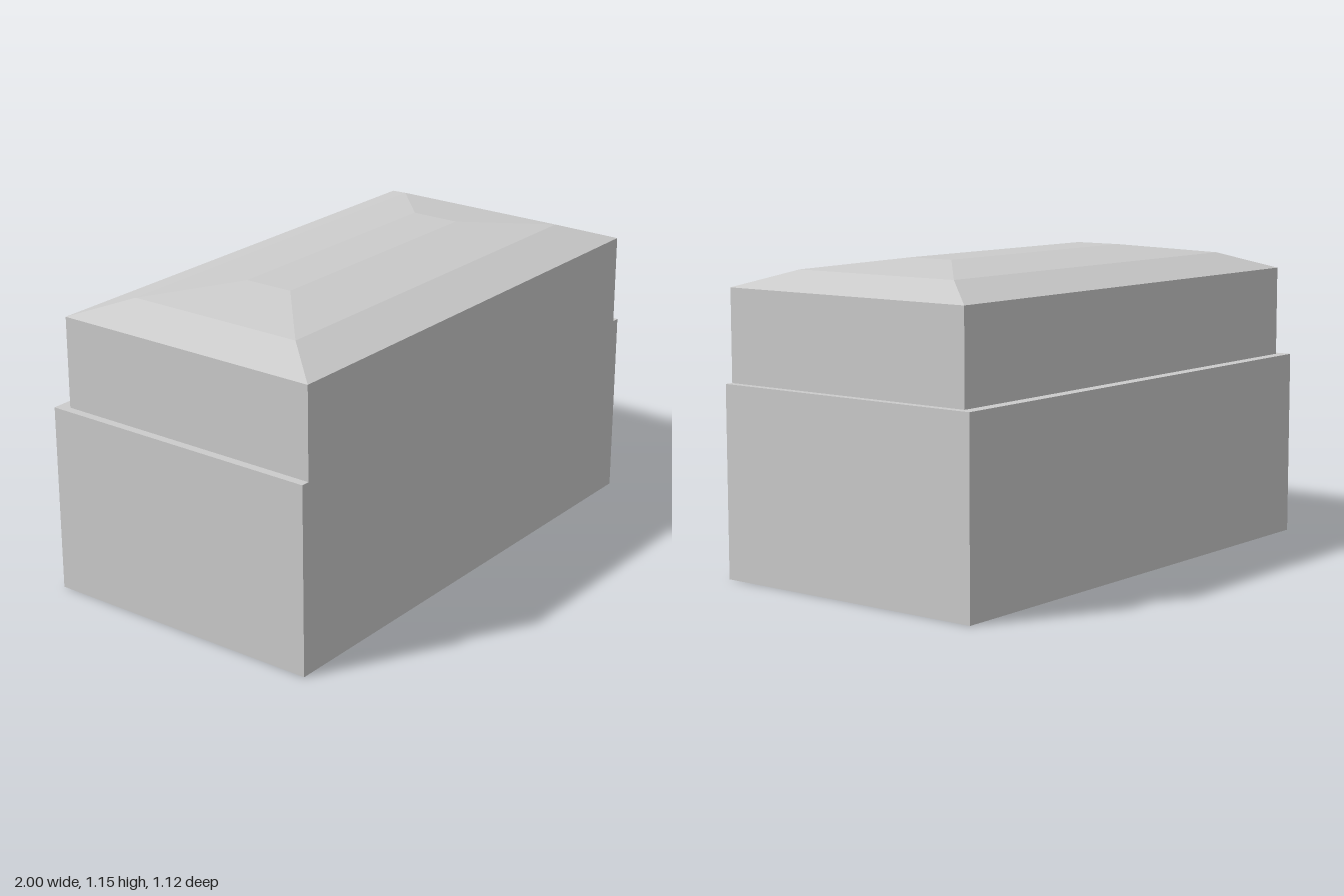
import * as THREE from 'three';

const material = new THREE.MeshStandardMaterial({ color: 0xcccccc, flatShading: true });

// Closed solid from stacked rectangular rings [halfX, y, halfZ], bottom to top.
function stackedBlock(rings) {
  const positions = [];
  const index = [];
  for (const [x, y, z] of rings) {
    positions.push(-x, y, z, x, y, z, x, y, -z, -x, y, -z);
  }
  for (let r = 0; r < rings.length - 1; r++) {
    for (let i = 0; i < 4; i++) {
      const a = r * 4 + i;
      const b = r * 4 + (i + 1) % 4;
      index.push(a, b, b + 4, a, b + 4, a + 4);
    }
  }
  const t = (rings.length - 1) * 4;
  index.push(0, 2, 1, 0, 3, 2, t, t + 1, t + 2, t, t + 2, t + 3);

  const indexed = new THREE.BufferGeometry();
  indexed.setAttribute('position', new THREE.Float32BufferAttribute(positions, 3));
  indexed.setIndex(index);
  const geometry = indexed.toNonIndexed();
  geometry.computeVertexNormals();
  return geometry;
}

export function createModel() {
  const model = new THREE.Group();
  model.name = 'chest';

  // Lower box
  const base = new THREE.Mesh(new THREE.BoxGeometry(2, 0.708, 1.116), material);
  base.name = 'base';
  base.position.y = 0.354;
  model.add(base);

  // Narrower lid, flush with the base at the front, with a faceted domed top
  const lid = new THREE.Mesh(stackedBlock([
    [0.968, 0.708, 0.535],
    [0.968, 1.049, 0.535],
    [0.803, 1.111, 0.355],
    [0.505, 1.148, 0.096],
  ]), material);
  lid.name = 'lid';
  lid.position.z = 0.023;
  model.add(lid);

  return model;
}
